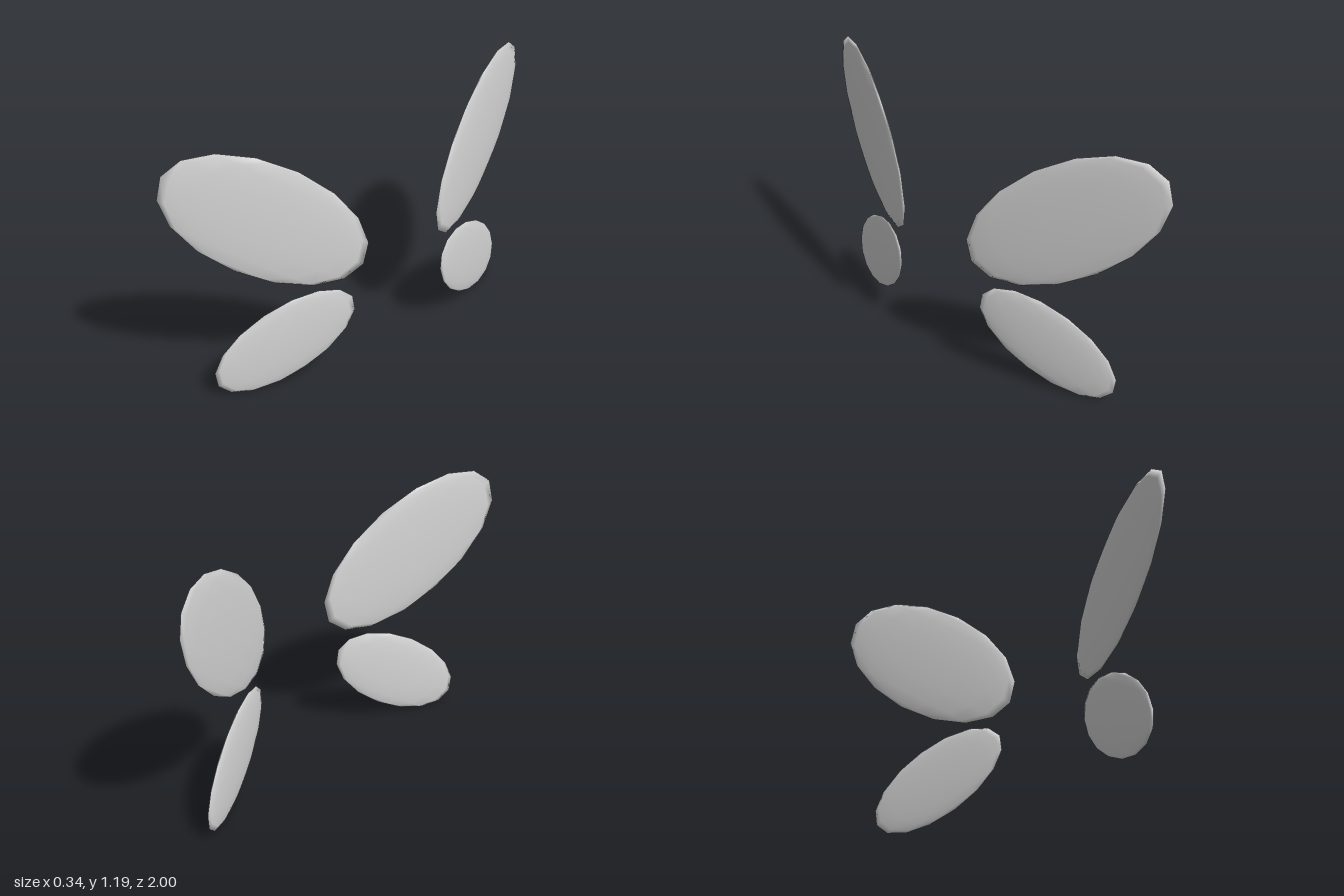
import * as THREE from 'three';

const wingGrey = new THREE.MeshStandardMaterial({ color: 0xd6d6d6 });
wingGrey.name = 'wingGrey';

const SWEEP = Math.PI / 2 + 0.398; // wing planes turn back from the centre line

// Flattened ellipsoid wing; side is +1 for the +z pair and -1 for the -z pair
function wing(name, side, size, centre, tilt) {
  const geometry = new THREE.SphereGeometry(1, 16, 8);
  geometry.scale(...size);
  const mesh = new THREE.Mesh(geometry, wingGrey);
  mesh.name = name;
  mesh.position.set(centre[0], centre[1], side * centre[2]);
  mesh.rotation.set(0, -side * SWEEP, THREE.MathUtils.degToRad(tilt), 'YXZ');
  return mesh;
}

export function createModel() {
  const model = new THREE.Group();
  model.name = 'wings';
  for (const side of [1, -1]) {
    const end = side > 0 ? 'Front' : 'Back';
    // large upper wing, rising outwards
    model.add(wing('upperWing' + end, side, [0.5, 0.255, 0.02], [0, 0.845, 0.595], 34));
    // small lower wing, dropping outwards
    model.add(wing('lowerWing' + end, side, [0.352, 0.175, 0.017], [0.022, 0.235, 0.54], -30));
  }
  return model;
}
